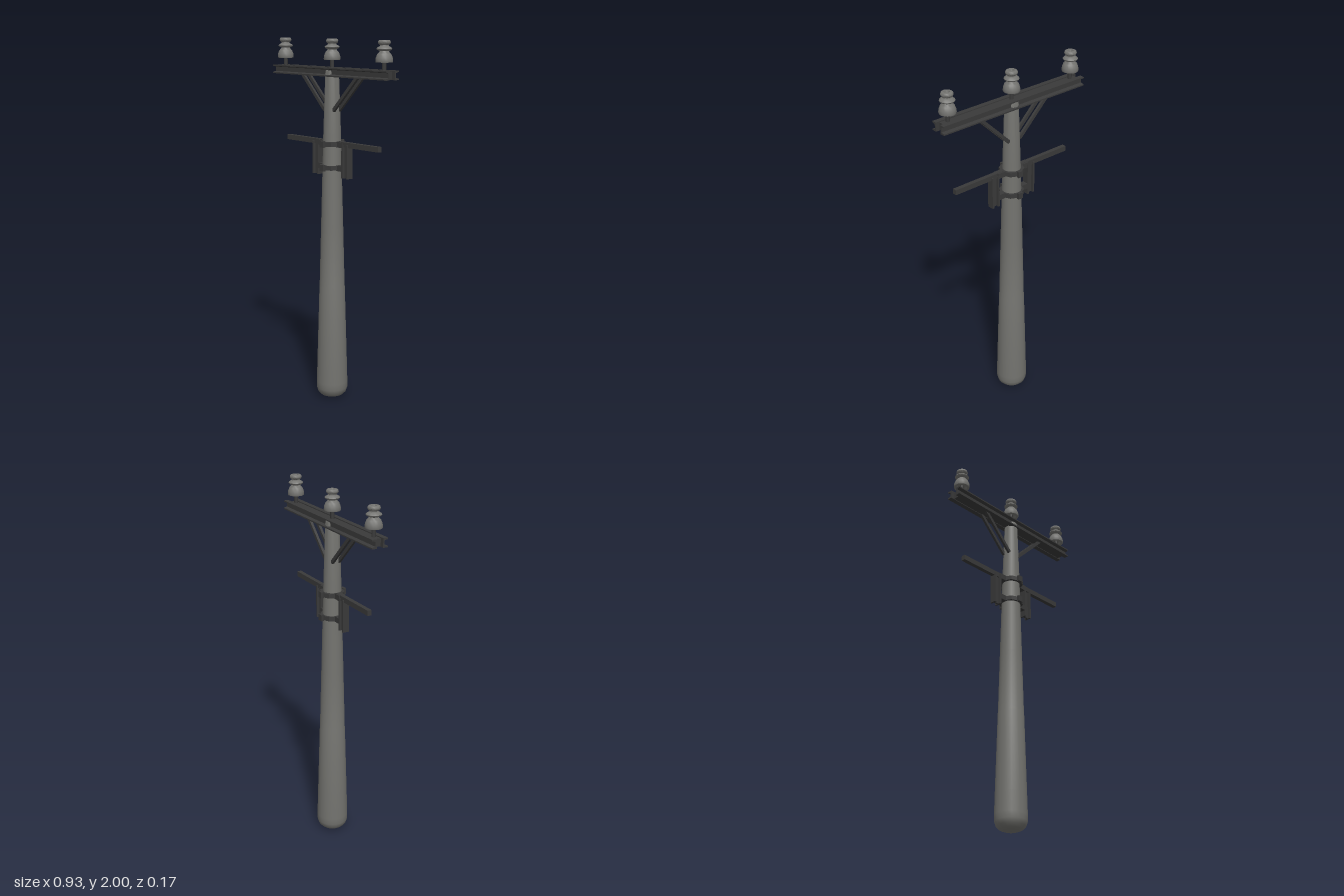
import * as THREE from 'three';
import { toCreasedNormals } from 'three/addons/utils/BufferGeometryUtils.js';

export function createModel() {
  const root = new THREE.Group();
  root.name = 'utilityPole';

  const mat = (name, color) => {
    const m = new THREE.MeshStandardMaterial({ color });
    m.name = name;
    return m;
  };
  const concrete = mat('poleGrey', 0x73736f);
  const ceramic = mat('insulatorGrey', 0x747471);
  const steel = mat('darkSteel', 0x3a3a3a);

  const add = (name, geo, material, x = 0, y = 0, z = 0, parent = root) => {
    const m = new THREE.Mesh(geo, material);
    m.name = name;
    m.position.set(x, y, z);
    parent.add(m);
    return m;
  };
  const box = (name, w, h, d, x, y, z, parent) =>
    add(name, new THREE.BoxGeometry(w, h, d), steel, x, y, z, parent);
  const lathe = (pts, n, crease = 0.7) => toCreasedNormals(
    new THREE.LatheGeometry(pts.map(p => new THREE.Vector2(...p)), n), crease);

  // Tapered pole with a rounded foot
  add('pole', lathe([
    [0, 0], [0.035, 0.003], [0.062, 0.013], [0.079, 0.03], [0.087, 0.055], [0.087, 0.09],
    [0.084, 0.2], [0.071, 0.645], [0.07, 0.65], [0.061, 1.0], [0.053, 1.3], [0.048, 1.5],
    [0.037, 1.82], [0.034, 1.835], [0, 1.835],
  ], 24), concrete);

  // Crossarm: two outward-facing channels with a spacer between them
  const arm = new THREE.Group();
  arm.name = 'crossarm';
  root.add(arm);
  for (const s of [1, -1]) {
    const c = new THREE.Shape([
      [0.018, 1.802], [0.045, 1.802], [0.045, 1.809], [0.026, 1.814],
      [0.026, 1.838], [0.045, 1.843], [0.045, 1.85], [0.018, 1.85],
    ].map(([z, y]) => new THREE.Vector2(z * s, y)));
    const g = new THREE.ExtrudeGeometry(c, { depth: 0.93, bevelEnabled: false });
    g.translate(0, 0, -0.465);
    g.rotateY(-Math.PI / 2);
    add('armChannel', g, steel, 0, 0, 0, arm);
  }
  box('armSpacer', 0.885, 0.04, 0.038, 0, 1.825, 0, arm);

  // Diagonal braces, a front and back pair on each side
  for (const sx of [1, -1]) for (const sz of [1, -1]) {
    const dx = 0.19, dy = 0.185;
    const b = box('brace', Math.hypot(dx, dy), 0.018, 0.014, sx * 0.13, 1.715, sz * 0.02);
    b.rotation.z = sx * Math.atan2(dy, dx);
  }

  // Three insulators on steel pins
  const insulator = lathe([
    [0, 1.9], [0.022, 1.9], [0.03, 1.889], [0.043, 1.889], [0.045, 1.895], [0.043, 1.912],
    [0.036, 1.93], [0.026, 1.94], [0.024, 1.945], [0.037, 1.951], [0.04, 1.957],
    [0.037, 1.962], [0.023, 1.97], [0.022, 1.975], [0.03, 1.98], [0.033, 1.988],
    [0.03, 1.997], [0.026, 2.0], [0.015, 2.0], [0.012, 1.99], [0, 1.99],
  ], 20);
  for (const x of [-0.405, 0, 0.405]) {
    add('insulator', insulator, ceramic, x);
    add('insulatorPin', new THREE.CylinderGeometry(0.011, 0.011, 0.06, 10), steel, x, 1.873, 0);
  }

  // Collars clamped around the pole
  for (const y of [1.315, 1.443]) {
    const collar = new THREE.Group();
    collar.name = 'collar';
    collar.position.y = y;
    root.add(collar);
    const ring = new THREE.Shape();
    for (let i = 0; i < 8; i++) {
      const a = i * Math.PI / 4;
      ring[i ? 'lineTo' : 'moveTo'](0.068 * Math.cos(a), 0.068 * Math.sin(a));
    }
    ring.holes.push(new THREE.Path().absarc(0, 0, 0.047, 0, Math.PI * 2, true));
    const g = new THREE.ExtrudeGeometry(ring, { depth: 0.024, bevelEnabled: false, curveSegments: 8 });
    g.rotateX(-Math.PI / 2);
    add('collarRing', g, steel, 0, -0.012, 0, collar);
    for (const s of [1, -1]) {
      box('collarLug', 0.05, 0.03, 0.036, s * 0.08, 0, 0, collar);
      box('collarClamp', 0.03, 0.034, 0.016, 0, 0, s * 0.068, collar);
    }
  }

  // Side rails and vertical I-section hangers
  for (const s of [1, -1]) {
    box('sideRail', 0.32, 0.028, 0.024, s * 0.22, 1.446, 0);
    const hanger = new THREE.Group();
    hanger.name = 'hanger';
    hanger.position.set(s * 0.122, 1.355, 0);
    root.add(hanger);
    box('hangerWeb', 0.04, 0.178, 0.01, 0, 0, 0, hanger);
    for (const f of [1, -1]) box('hangerFlange', 0.01, 0.18, 0.038, f * 0.019, 0, 0, hanger);
  }

  return root;
}
